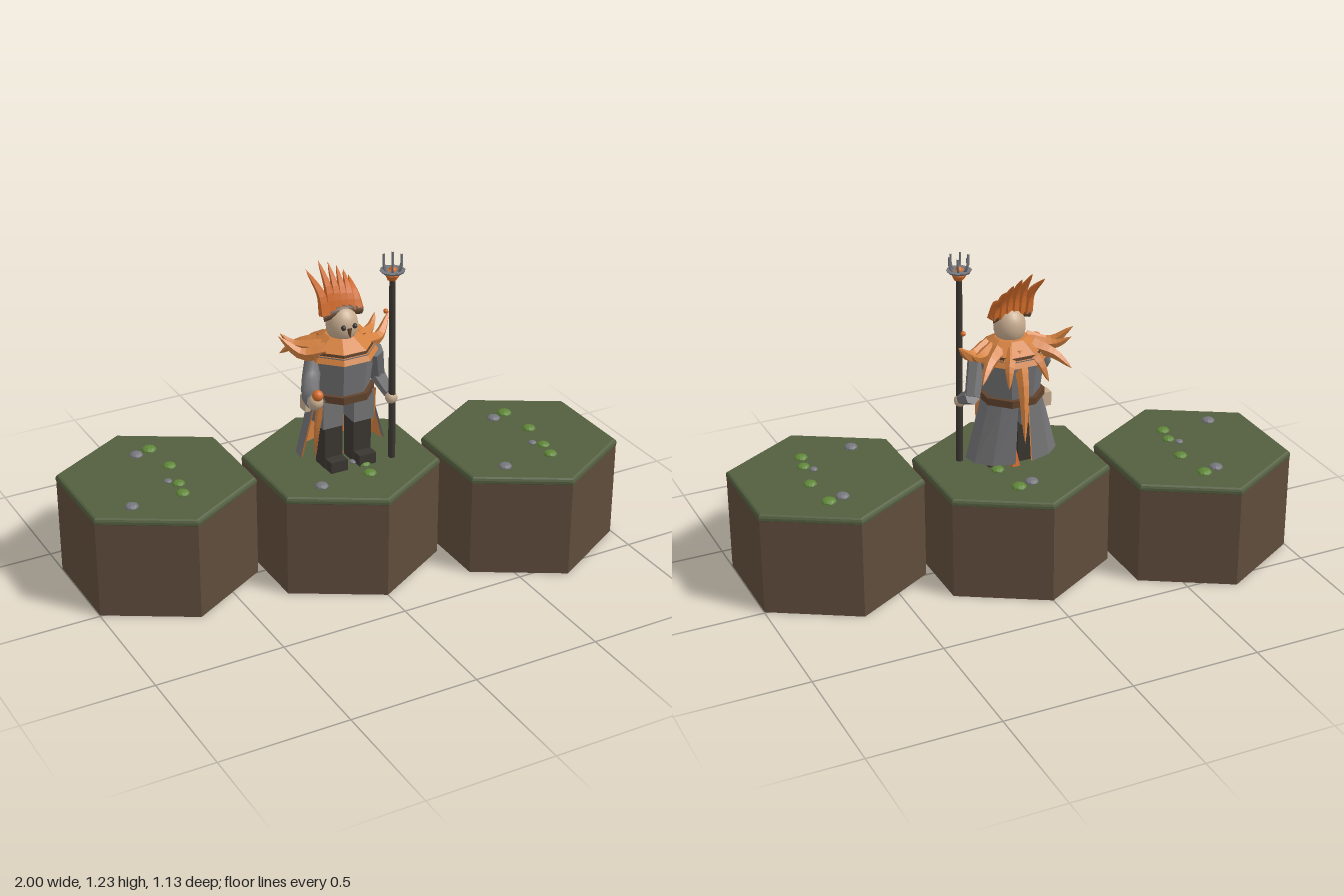
import * as THREE from 'three';

const mat = (name, color, side = THREE.FrontSide) => {
  const m = new THREE.MeshStandardMaterial({ color, side });
  m.name = name;
  return m;
};
const M = {
  soil: mat('soil', 0x5f4c3b), grass: mat('grass', 0x535f40),
  cloth: mat('grey cloth', 0x737375, THREE.DoubleSide),
  orange: mat('orange plumage', 0xd2803f, THREE.DoubleSide),
  crest: mat('crest orange', 0xd46c2a, THREE.DoubleSide),
  dark: mat('dark leather', 0x3a3631), skin: mat('pale skin', 0xc6ab8e),
  belt: mat('brown leather', 0x60422c), plant: mat('leaf green', 0x5f8638),
  stone: mat('stone', 0x75767c),
};
const v = (a) => new THREE.Vector3(...a);
const flat = (g) => {
  const f = g.index ? g.toNonIndexed() : g;
  f.computeVertexNormals();
  return f;
};

function add(parent, name, geo, material, pos = [0, 0, 0], rot = [0, 0, 0]) {
  const mesh = new THREE.Mesh(geo, material);
  mesh.name = name;
  mesh.position.set(...pos);
  mesh.rotation.set(...rot);
  parent.add(mesh);
  return mesh;
}

// Curved feather: a tube that narrows to a point
function feather(points, r, sides = 5) {
  const curve = new THREE.CatmullRomCurve3(points.map(v));
  const n = 8;
  const g = new THREE.TubeGeometry(curve, n, r, sides);
  const p = g.attributes.position, q = new THREE.Vector3();
  for (let i = 0; i <= n; i++) {
    const c = curve.getPointAt(i / n), k = Math.pow(1 - i / n, 0.7);
    for (let j = 0; j <= sides; j++) {
      const id = i * (sides + 1) + j;
      q.fromBufferAttribute(p, id).sub(c).multiplyScalar(k).add(c);
      p.setXYZ(id, q.x, q.y, q.z);
    }
  }
  return flat(g);
}

// Straight round bar between two points
function rod(a, b, r0, r1 = r0, sides = 8) {
  const d = v(b).sub(v(a));
  const g = new THREE.CylinderGeometry(r1, r0, d.length(), sides);
  g.applyQuaternion(new THREE.Quaternion().setFromUnitVectors(new THREE.Vector3(0, 1, 0), d.clone().normalize()));
  const c = v(a).addScaledVector(d, 0.5);
  return g.translate(c.x, c.y, c.z);
}

// Eight-sided ring of the body with a face to the front
const octagon = (top, bottom, h) => flat(new THREE.CylinderGeometry(top, bottom, h, 8).rotateY(Math.PI / 8));

function hexTile(x, z) {
  const tile = new THREE.Group();
  tile.name = 'hexTile';
  tile.position.set(x, 0, z);
  add(tile, 'soilBlock', flat(new THREE.CylinderGeometry(0.373, 0.373, 0.385, 6)), M.soil, [0, 0.1925, 0]);
  const edge = [[0, 0.38], [0.37, 0.38], [0.375, 0.386], [0.375, 0.396], [0.371, 0.404], [0.363, 0.408], [0, 0.408]];
  add(tile, 'grassCap', flat(new THREE.LatheGeometry(edge.map((p) => new THREE.Vector2(...p)), 6)), M.grass);
  const lump = (name, px, pz, r, m) => {
    const g = flat(new THREE.IcosahedronGeometry(r, 1));
    add(tile, name, g, m, [px, 0.41, pz]).scale.y = 0.5;
  };
  for (const [px, pz, r] of [[0.06, -0.2, 0.029], [0.075, -0.045, 0.026], [0.05, 0.095, 0.024], [0.033, 0.168, 0.026]])
    lump('shrub', px, pz, r, M.plant);
  for (const [px, pz, r] of [[0, -0.183, 0.026], [0.022, 0.06, 0.016], [-0.17, 0.17, 0.026]])
    lump('pebble', px, pz, r, M.stone);
  return tile;
}

function makeLowerBody(g) {
  for (const s of [-1, 1]) {
    add(g, 'trouserLeg', new THREE.BoxGeometry(0.085, 0.12, 0.11), M.cloth, [s * 0.064, 0.637, 0.01]);
    add(g, 'boot', new THREE.BoxGeometry(0.074, 0.178, 0.075), M.dark, [s * 0.06, 0.496, 0.022]);
    add(g, 'bootToe', new THREE.BoxGeometry(0.07, 0.045, 0.09), M.dark, [s * 0.06, 0.43, 0.06]);
    // Flared coat tail and its orange lining, mirrored round the back
    const start = s > 0 ? Math.PI * 0.45 : Math.PI * 1.06;
    for (const [name, m, k] of [['coatTail', M.cloth, 1], ['coatLining', M.orange, 0.95]]) {
      const panel = new THREE.CylinderGeometry(0.115 * k, 0.18 * k, 0.24, 3, 1, true, start, Math.PI * 0.49);
      const p = panel.attributes.position;
      for (let i = 0; i < p.count; i++) if (p.getY(i) < 0) p.setZ(i, p.getZ(i) * 0.65);
      add(g, name, flat(panel), m, [0, 0.575, 0]);
    }
    add(g, 'hangingFeather', feather([[s * 0.105, 0.69, 0.05], [s * 0.115, 0.56, 0.03], [s * 0.095, 0.415, -0.02]], 0.018), M.orange);
  }
  add(g, 'tailTuft', flat(new THREE.ConeGeometry(0.026, 0.105, 5)), M.crest, [0, 0.462, -0.03]);
  add(g, 'pouch', new THREE.BoxGeometry(0.045, 0.055, 0.045), M.skin, [-0.125, 0.66, -0.02]);
}

function makeTorso(g) {
  add(g, 'torso', octagon(0.13, 0.105, 0.19), M.cloth, [0, 0.78, 0]);
  add(g, 'belt', octagon(0.125, 0.125, 0.028), M.belt, [0, 0.702, 0]);
  add(g, 'collarRim', octagon(0.127, 0.14, 0.025), M.orange, [0, 0.864, 0]);
  add(g, 'collarBand', octagon(0.122, 0.124, 0.012), M.belt, [0, 0.881, 0]);
  add(g, 'collar', octagon(0.06, 0.122, 0.04), M.orange, [0, 0.906, 0]);
  // Shoulder and back plumage
  const plumes = [
    [[0.08, 0.885, 0.035], [0.16, 0.875, 0], [0.232, 0.942, -0.05], 0.034],
    [[0.08, 0.885, 0], [0.16, 0.89, -0.06], [0.2, 0.925, -0.1], 0.032],
    [[0.07, 0.89, -0.04], [0.13, 0.87, -0.095], [0.18, 0.82, -0.145], 0.032],
    [[0.03, 0.89, -0.06], [0.06, 0.86, -0.12], [0.08, 0.79, -0.16], 0.03],
  ];
  for (const s of [-1, 1])
    for (const p of plumes)
      add(g, 'shoulderFeather', feather(p.slice(0, 3).map(([x, y, z]) => [s * x, y, z]), p[3]), M.orange);
  add(g, 'longBackFeather', feather([[0, 0.89, -0.07], [0.015, 0.78, -0.14], [0.04, 0.585, -0.21]], 0.03), M.orange);
}

function makeArms(g) {
  // Raised arm holding an orb
  const arm = new THREE.CatmullRomCurve3([[-0.11, 0.85, 0], [-0.145, 0.785, 0.04], [-0.185, 0.76, 0.12], [-0.2, 0.772, 0.185]].map(v));
  add(g, 'raisedArm', new THREE.TubeGeometry(arm, 14, 0.034, 10), M.cloth);
  add(g, 'raisedHand', new THREE.SphereGeometry(0.028, 10, 8), M.skin, [-0.2, 0.77, 0.186]);
  add(g, 'orb', new THREE.SphereGeometry(0.021, 12, 8), M.crest, [-0.2, 0.802, 0.2]);
  // Arm gripping the staff
  add(g, 'staffUpperArm', flat(rod([0.115, 0.85, 0.05], [0.16, 0.715, -0.01], 0.034, 0.03, 6)), M.cloth);
  add(g, 'staffForearm', flat(rod([0.16, 0.715, -0.01], [0.166, 0.67, 0.075], 0.03, 0.022, 6)), M.cloth);
  add(g, 'staffHand', new THREE.SphereGeometry(0.024, 10, 8), M.skin, [0.167, 0.658, 0.088]);
}

function makeHead(g) {
  add(g, 'head', new THREE.SphereGeometry(0.06, 20, 14), M.skin, [0, 0.965, 0.01]).scale.y = 1.2;
  for (const s of [-1, 1])
    add(g, 'eye', new THREE.SphereGeometry(0.01, 8, 6), M.dark, [s * 0.023, 0.974, 0.066]);
  add(g, 'beak', new THREE.ConeGeometry(0.011, 0.04, 6), M.belt, [0, 0.949, 0.071], [Math.PI - 0.25, 0, 0]);
  // Crest band arched over the brow
  const band = new THREE.CatmullRomCurve3([[-0.08, 1.005, 0.005], [0, 1.022, 0.015], [0.08, 1.005, 0.005]].map(v));
  add(g, 'crestBand', new THREE.TubeGeometry(band, 10, 0.02, 8), M.belt).scale.set(1, 1, 1);
  const tips = [[-0.1, 1.165], [-0.05, 1.192], [-0.01, 1.178], [0.025, 1.158], [0.053, 1.138], [0.075, 1.11]];
  tips.forEach(([x, y], i) => {
    const bx = -0.066 + i * 0.0264;
    const path = [[bx, 1.012, 0.008], [bx * 0.8 + x * 0.2, 1.012 + (y - 1.012) * 0.5, -0.015], [x, y, -0.08]];
    add(g, 'crestFeather', feather(path, 0.025), M.crest);
  });
  add(g, 'floatingBead', new THREE.SphereGeometry(0.01, 8, 6), M.crest, [0.19, 0.97, 0]);
}

function makeStaff(g) {
  const staff = new THREE.Group();
  staff.name = 'staff';
  g.add(staff);
  add(staff, 'shaft', rod([0.171, 0.405, 0.09], [0.161, 1.165, 0.097], 0.014, 0.012), M.dark);
  const head = new THREE.Group();
  head.name = 'staffHead';
  head.position.set(0.161, 1.17, 0.097);
  staff.add(head);
  add(head, 'gem', flat(new THREE.OctahedronGeometry(0.028, 1)), M.crest, [0, -0.01, 0]);
  add(head, 'crown', new THREE.CylinderGeometry(0.048, 0.042, 0.008, 10), M.stone, [0, 0.004, 0]);
  add(head, 'crownStud', new THREE.SphereGeometry(0.014, 8, 6), M.crest, [0, 0.008, 0]);
  for (let i = 0; i < 6; i++) {
    const a = (i / 6) * Math.PI * 2, c = Math.cos(a), s = Math.sin(a);
    const at = (r, y) => new THREE.Vector3(r * c, y, r * s);
    const curve = new THREE.CatmullRomCurve3([at(0.024, 0.006), at(0.036, 0.022), at(0.037, 0.064)]);
    add(head, 'prong', new THREE.TubeGeometry(curve, 6, 0.0045, 6), M.stone);
  }
}

export function createModel() {
  const model = new THREE.Group();
  model.name = 'featheredMageOnTiles';
  for (const i of [-1, 0, 1]) model.add(hexTile(i * 0.675, i * 0.192));
  const figure = new THREE.Group();
  figure.name = 'figure';
  model.add(figure);
  for (const make of [makeLowerBody, makeTorso, makeArms, makeHead, makeStaff]) make(figure);
  return model;
}
